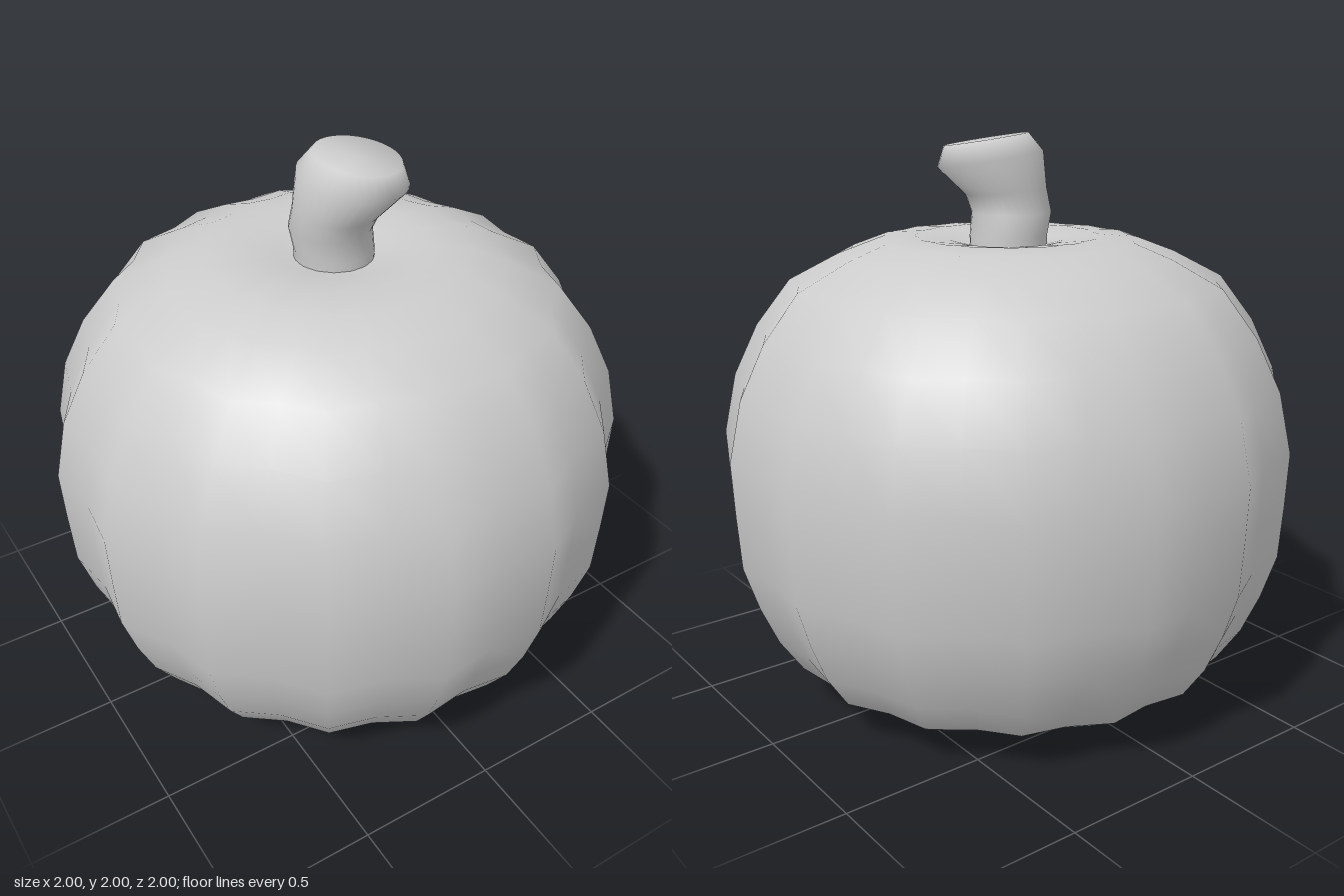
import * as THREE from 'three';
import { mergeVertices } from 'three/addons/utils/BufferGeometryUtils.js';

const material = new THREE.MeshStandardMaterial({ color: 0xcccccc });

// Ribbed body: a smooth lathe whose alternate columns are pushed out and in,
// keeping the smooth normals of the unribbed form
function createBody() {
  const ribs = 16;
  const profile = [
    [0, 0.04], [0.15, 0.025], [0.28, 0.005], [0.41, 0.0], [0.64, 0.06], [0.79, 0.15],
    [0.87, 0.27], [0.93, 0.41], [0.98, 0.57], [0.992, 0.76], [1.0, 0.95], [0.955, 1.16],
    [0.87, 1.34], [0.75, 1.5], [0.58, 1.59], [0.45, 1.64], [0.32, 1.65], [0.2, 1.635],
    [0.1, 1.61], [0, 1.6],
  ].map(([r, y]) => new THREE.Vector2(r, y));
  const geometry = new THREE.LatheGeometry(profile, ribs * 2);
  const position = geometry.attributes.position;
  for (let i = 0; i < position.count; i++) {
    const column = Math.floor(i / profile.length);
    const push = column % 2 ? 1.02 : 0.976;
    position.setX(i, position.getX(i) * push);
    position.setZ(i, position.getZ(i) * push);
  }
  const body = new THREE.Mesh(geometry, material);
  body.name = 'ribbedBody';
  return body;
}

// Crooked stem: round rings, each with its own centre, radius and tilt
function createStem() {
  const rings = [ // x, y, z, radius, tilt
    [-0.01, 1.56, 0.005, 0.136, 0],
    [-0.01, 1.65, 0.005, 0.136, 0],
    [-0.022, 1.73, 0.003, 0.14, 0],
    [-0.018, 1.8, 0.03, 0.143, -0.06],
    [0.035, 1.91, 0.05, 0.185, -0.11],
    [0.045, 1.978, 0.06, 0.147, -0.11],
    [0.045, 1.975, 0.06, 0, 0],
  ];
  let geometry = new THREE.LatheGeometry(rings.map((ring, i) => new THREE.Vector2(ring[3], i)), 32);
  const position = geometry.attributes.position;
  for (let i = 0; i < position.count; i++) {
    const [cx, cy, cz, , tilt] = rings[i % rings.length];
    const x = position.getX(i), z = position.getZ(i);
    position.setXYZ(i, cx + x, cy + tilt * (x + z), cz + z);
  }
  // Weld the seam so the shading is continuous
  geometry.deleteAttribute('uv');
  geometry.deleteAttribute('normal');
  geometry = mergeVertices(geometry, 1e-4);
  geometry.computeVertexNormals();
  const stem = new THREE.Mesh(geometry, material);
  stem.name = 'stem';
  return stem;
}

export function createModel() {
  const group = new THREE.Group();
  group.name = 'pumpkin';
  group.add(createBody(), createStem());
  return group;
}
